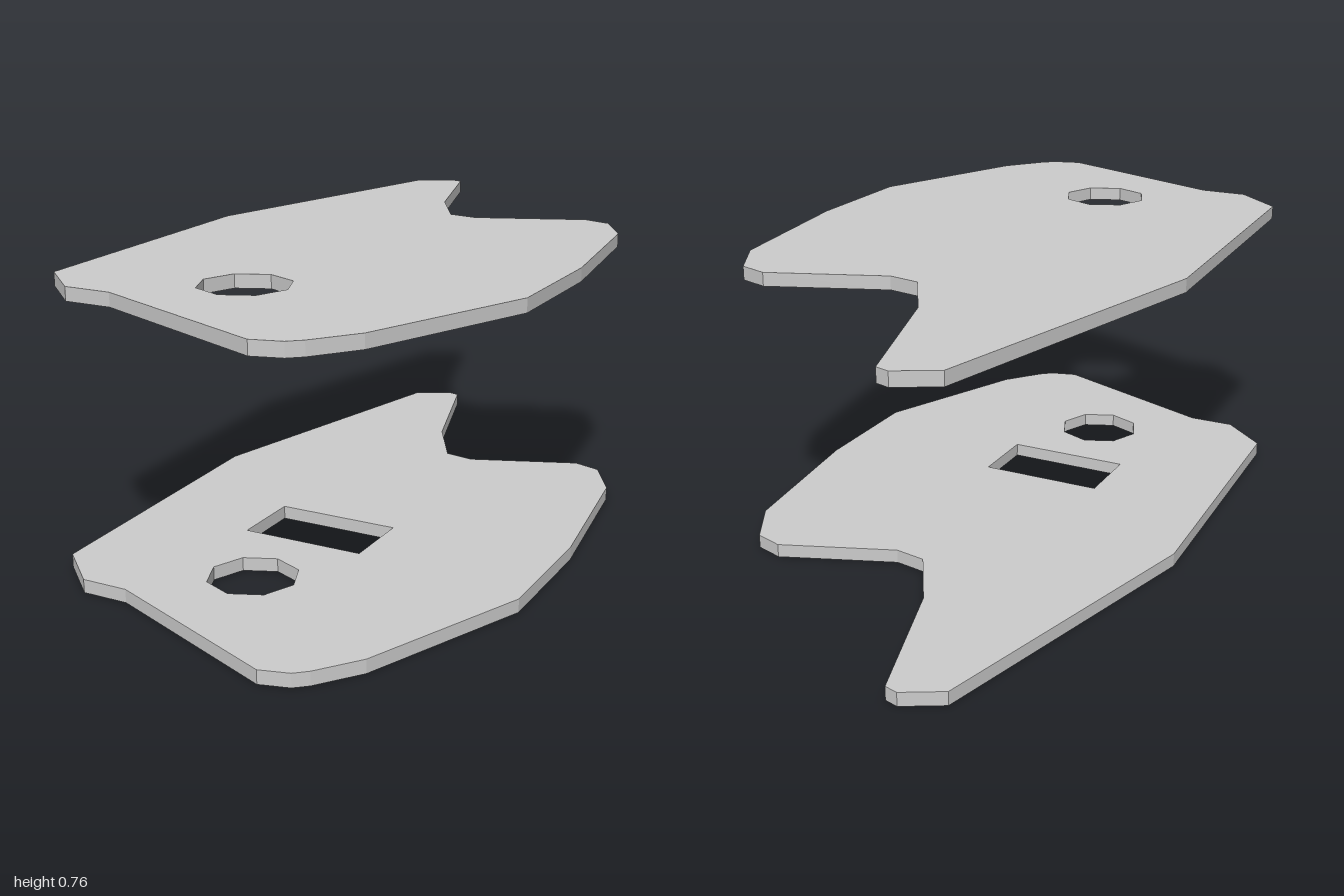
import * as THREE from 'three';

const THICKNESS = 0.035;

// Plate outline as [x, z]
const OUTLINE = [
  [-0.27, -1], [-0.235, -0.99], [-0.115, -0.61], [-0.013, -0.433], [0.07, -0.418],
  [0.362, -0.53], [0.437, -0.506], [0.51, -0.375], [0.568, 0.07], [0.568, 0.418],
  [0.39, 0.85], [0.31, 0.953], [0.278, 0.98], [0.204, 1], [-0.29, 0.8],
  [-0.415, 0.8], [-0.537, 0.69], [-0.57, -0.117], [-0.367, -0.947],
];

const toPoints = (list) => list.map(([x, z]) => new THREE.Vector2(x, z));

// Eight-sided round opening
function octagonHole(cx, cz, r) {
  const corners = Array.from({ length: 8 }, (_, i) => {
    const a = (i * Math.PI) / 4;
    return [cx + r * Math.cos(a), cz + r * Math.sin(a)];
  });
  return new THREE.Path(toPoints(corners));
}

// Rectangular opening
function rectHole(x0, x1, z0, z1) {
  return new THREE.Path(toPoints([[x0, z0], [x1, z0], [x1, z1], [x0, z1]]));
}

// Flat plate whose underside sits at height y
function makePlate(name, y, holes, material) {
  const shape = new THREE.Shape(toPoints(OUTLINE));
  shape.holes.push(...holes);
  const geometry = new THREE.ExtrudeGeometry(shape, { depth: THICKNESS, bevelEnabled: false });
  geometry.rotateX(Math.PI / 2); // shape y becomes z, depth runs downward
  const plate = new THREE.Mesh(geometry, material);
  plate.name = name;
  plate.position.y = y + THICKNESS;
  return plate;
}

export function createModel() {
  const model = new THREE.Group();
  model.name = 'plates';
  const material = new THREE.MeshStandardMaterial({ color: 0xcccccc, flatShading: true });
  const roundHole = () => octagonHole(-0.06, 0.593, 0.115);

  model.add(
    makePlate('lowerPlate', 0, [roundHole(), rectHole(-0.228, 0.106, 0.164, 0.355)], material),
    makePlate('upperPlate', 0.73, [roundHole()], material),
  );
  return model;
}
